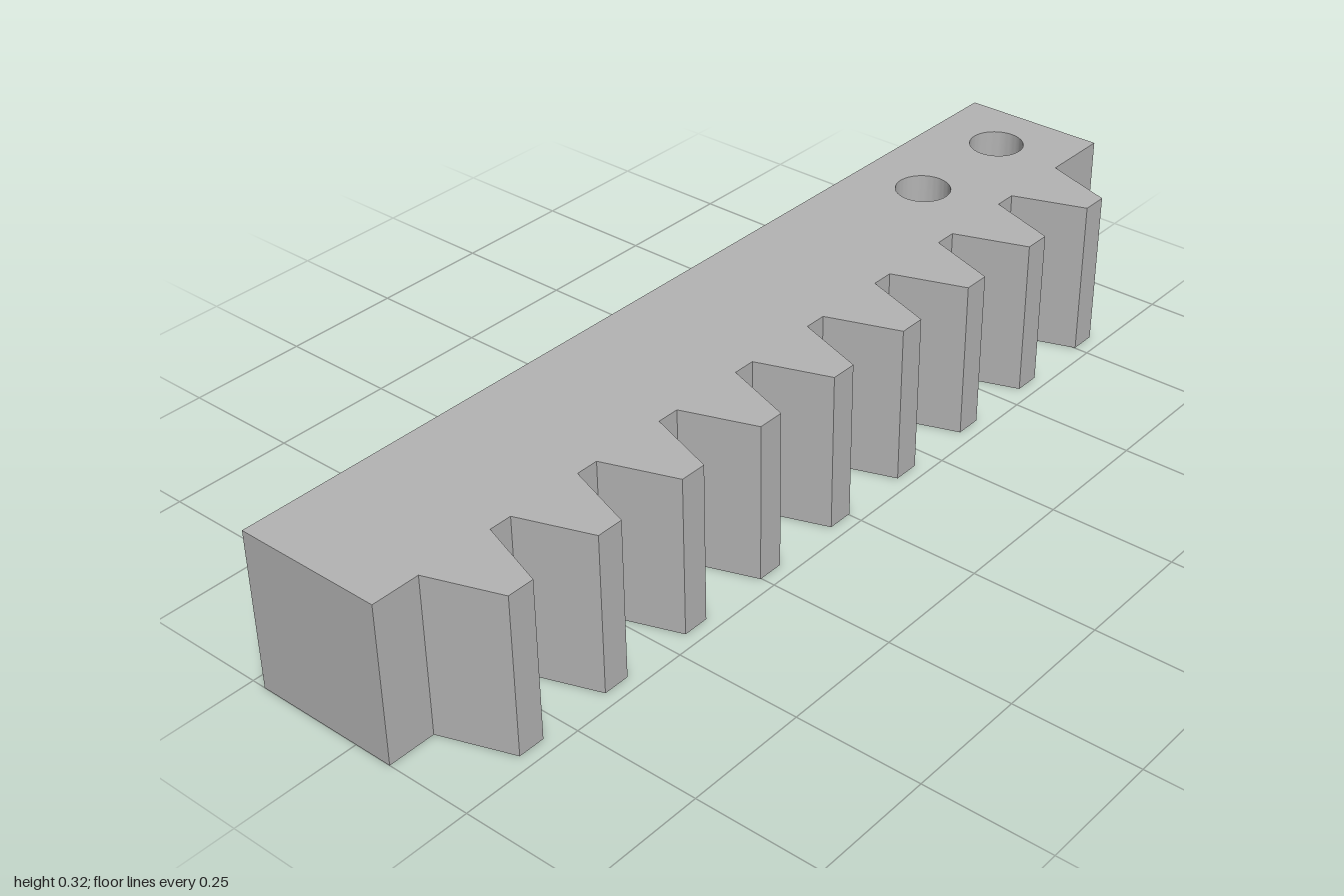
import * as THREE from 'three';
import { toCreasedNormals } from 'three/addons/utils/BufferGeometryUtils.js';

const HEIGHT = 0.32, BACK = -0.221, ROOT = 0.078, TIP = 0.221;
const TEETH = 9, PITCH = 0.2006, FIRST = -0.8265;
const BASE_HALF = 0.0775, TIP_HALF = 0.027;
const HOLE_X = [0.614, 0.869], HOLE_Z = -0.075, HOLE_R = 0.055, HOLE_DEPTH = 0.2;
const SEGMENTS = 32;

export function createModel() {
  const group = new THREE.Group();
  group.name = 'gearRack';
  const steel = new THREE.MeshStandardMaterial({ color: 0xb4b4b4 });
  steel.name = 'steel grey';

  // Plan outline, drawn with shape y = -z: plain back, toothed front
  const outline = new THREE.Shape();
  outline.moveTo(-1, -BACK);
  outline.lineTo(-1, -ROOT);
  for (let i = 0; i < TEETH; i++) {
    const x = FIRST + i * PITCH;
    outline.lineTo(x - BASE_HALF, -ROOT);
    outline.lineTo(x - TIP_HALF, -TIP);
    outline.lineTo(x + TIP_HALF, -TIP);
    outline.lineTo(x + BASE_HALF, -ROOT);
  }
  outline.lineTo(1, -ROOT);
  outline.lineTo(1, -BACK);
  outline.closePath();

  // Round mounting holes near the left end
  for (const x of HOLE_X) {
    const hole = new THREE.Path();
    hole.absarc(x, -HOLE_Z, HOLE_R, 0, Math.PI * 2, true);
    outline.holes.push(hole);
  }

  // Toothed bar
  const barGeometry = new THREE.ExtrudeGeometry(outline, {
    depth: HEIGHT, bevelEnabled: false, curveSegments: SEGMENTS,
  });
  barGeometry.rotateX(-Math.PI / 2);
  const bar = new THREE.Mesh(toCreasedNormals(barGeometry, 0.4), steel);
  bar.name = 'toothedBar';
  group.add(bar);

  // Solid floors that make the holes blind
  const floorHeight = HEIGHT - HOLE_DEPTH;
  const floorGeometry = new THREE.CylinderGeometry(HOLE_R, HOLE_R, floorHeight, SEGMENTS);
  for (const x of HOLE_X) {
    const floor = new THREE.Mesh(floorGeometry, steel);
    floor.name = 'holeFloor';
    floor.position.set(x, floorHeight / 2, HOLE_Z);
    group.add(floor);
  }
  return group;
}
